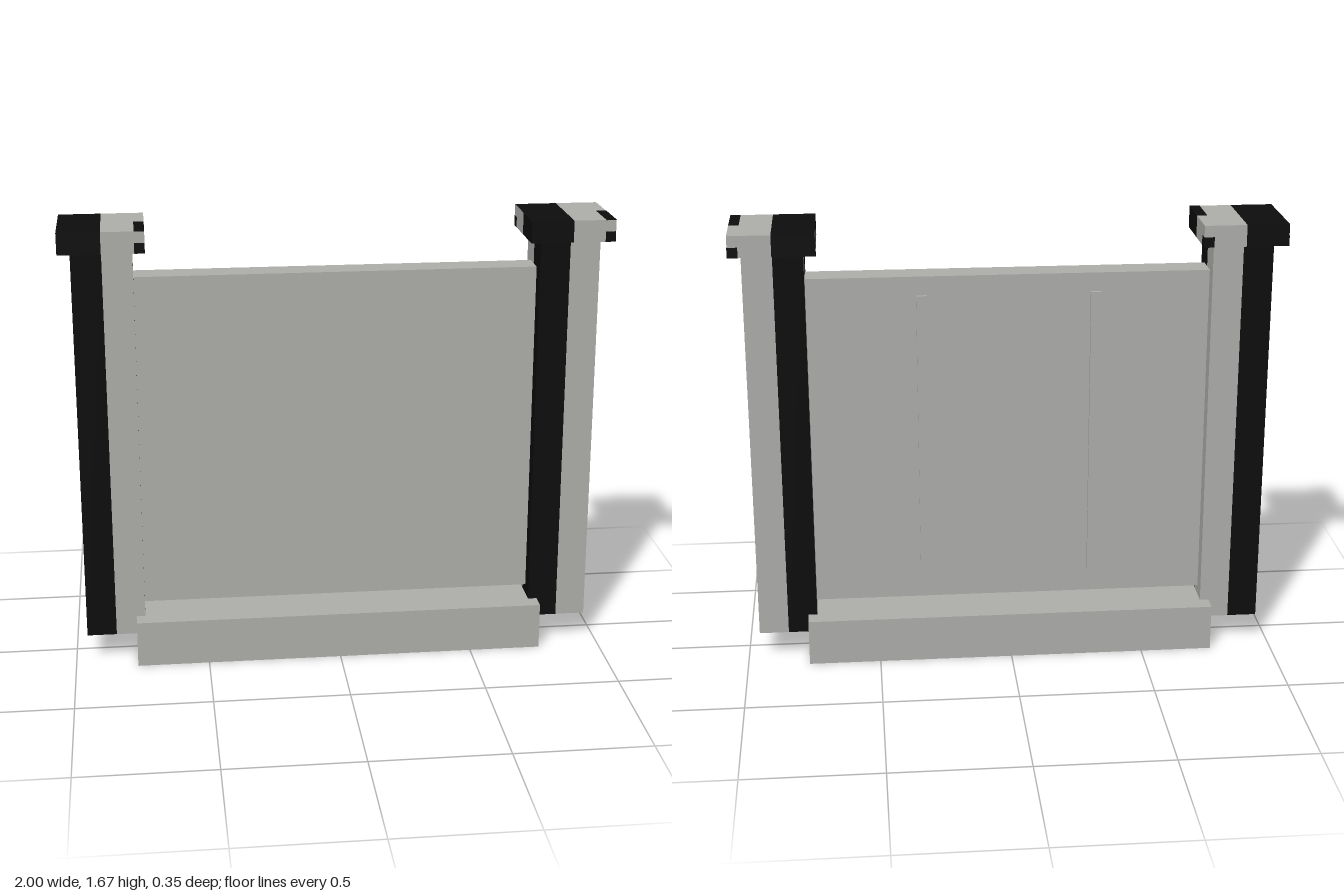
import * as THREE from 'three';

const grey = new THREE.MeshStandardMaterial({ color: 0xb0b0ad });
grey.name = 'stoneGrey';
const black = new THREE.MeshStandardMaterial({ color: 0x0d0d0d });
black.name = 'black';

// Box given by its min and max corners
function block(name, [x0, y0, z0], [x1, y1, z1], material) {
  const geometry = new THREE.BoxGeometry(x1 - x0, y1 - y0, z1 - z0);
  const mesh = new THREE.Mesh(geometry, material);
  mesh.position.set((x0 + x1) / 2, (y0 + y1) / 2, (z0 + z1) / 2);
  mesh.name = name;
  return mesh;
}

// Square column whose faces are each half black, half grey
function halvedColumn(name, half, y0, y1) {
  const group = new THREE.Group();
  group.name = name;
  for (const sx of [-1, 1]) {
    for (const sz of [-1, 1]) {
      const side = sz > 0 ? black : grey;
      const rest = sx < 0 ? black : grey;
      group.add(block(name + 'Quarter',
        [Math.min(0, sx * half), y0, Math.min(0, sz * half)],
        [Math.max(0, sx * half), y1, Math.max(0, sz * half)],
        [side, side, rest, rest, rest, rest]));
    }
  }
  return group;
}

const SHAFT = 0.11, CAP = 0.154, CAP_Y = 1.585, TOP_Y = 1.665;

function createPost(name, x) {
  const post = new THREE.Group();
  post.name = name;
  post.position.x = x;
  post.add(halvedColumn('shaft', SHAFT, 0.105, CAP_Y), halvedColumn('cap', CAP, CAP_Y, TOP_Y));

  // Small black patches on the cap faces
  const t = 0.001, inner = CAP - 0.037, mid = CAP_Y + 0.038;
  for (const s of [-1, 1]) {
    const f = s * CAP;
    post.add(block('capPatch', [inner, CAP_Y, f - t], [CAP, mid, f + t], black));
    post.add(block('capPatch', [f - t, CAP_Y, -CAP], [f + t, mid, -inner], black));
  }
  post.add(block('capTopPatch', [inner, TOP_Y - t, 0], [CAP, TOP_Y + t, CAP], black));
  return post;
}

export function createModel() {
  const model = new THREE.Group();
  model.name = 'panelBetweenPosts';

  // Base and upright panel
  model.add(block('base', [-0.768, 0, -0.175], [0.768, 0.175, 0.175], grey));
  model.add(block('panel', [-0.735, 0.21, -0.052], [0.735, 1.475, 0.052], grey));

  // Thin slats on the back of the panel
  for (const x of [-0.318, 0.318]) {
    model.add(block('backSlat', [x - 0.019, 0.285, -0.065], [x + 0.019, 1.405, -0.05], grey));
  }

  model.add(createPost('leftPost', 0.845), createPost('rightPost', -0.845));
  return model;
}
